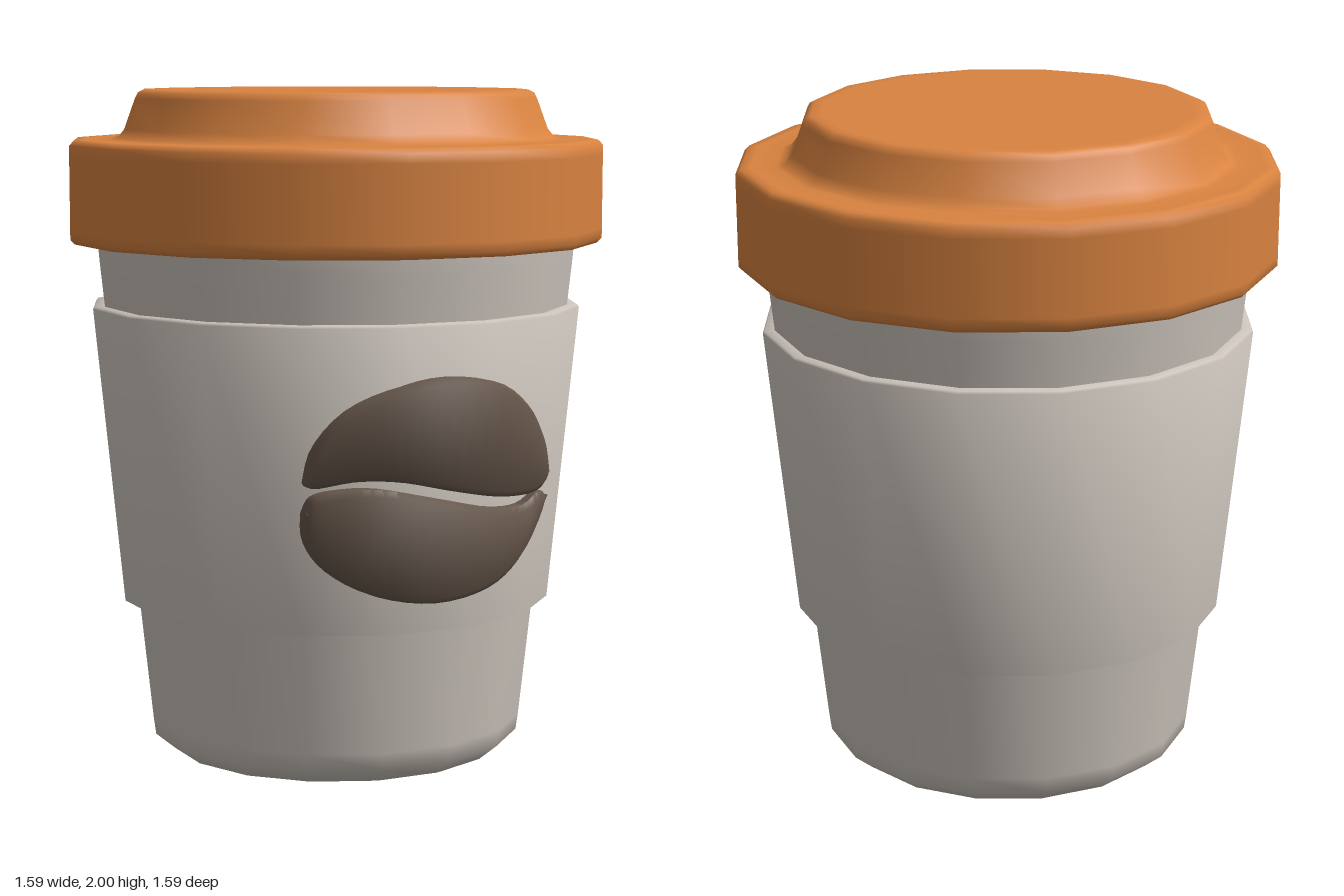
import * as THREE from 'three';
import { toCreasedNormals } from 'three/addons/utils/BufferGeometryUtils.js';

const SIDES = 16;
const TURN = 0.129; // small twist of the 16-sided rings
const CREASE = 1.0;

const mat = (name, color) => {
  const m = new THREE.MeshStandardMaterial({ color });
  m.name = name;
  return m;
};

// Ring-shaped part from a [radius, height] profile, listed bottom to top
function turned(name, profile, material) {
  const pts = profile.map(([r, y]) => new THREE.Vector2(r, y));
  const geo = new THREE.LatheGeometry(pts, SIDES, TURN, Math.PI * 2);
  const mesh = new THREE.Mesh(toCreasedNormals(geo, CREASE), material);
  mesh.name = name;
  return mesh;
}

// Sleeve radius at a height
const sleeveRadius = (y) => 0.652 + (y - 0.47) * 0.098;

// Bean half: cross-sections between a lower and an upper outline, wrapped round the sleeve
function beanHalf(name, lower, upper, material) {
  const curve = (pts) => new THREE.SplineCurve(pts.map(([x, y]) => new THREE.Vector2(x, y)));
  const low = curve(lower), high = curve(upper);
  const columns = 32, rows = 6;
  const position = [], index = [];
  for (let i = 0; i <= columns; i++) {
    const a = low.getPoint(i / columns), b = high.getPoint(i / columns);
    const bevel = Math.min(0.4, 0.018 / Math.max(a.distanceTo(b), 0.001));
    // [fraction from lower to upper edge, height above the sleeve]
    const section = [[0, -0.03], [0, 0.022], [bevel, 0.036], [1 - bevel, 0.036], [1, 0.022], [1, -0.03]];
    for (const [f, lift] of section) {
      const p = a.clone().lerp(b, f);
      const r = sleeveRadius(p.y) + lift;
      position.push(p.x, p.y, Math.sqrt(r * r - p.x * p.x));
    }
  }
  for (let i = 0; i < columns; i++) {
    for (let j = 0; j < rows - 1; j++) {
      const a = i * rows + j, b = a + rows;
      index.push(a, b, b + 1, a, b + 1, a + 1);
    }
  }
  const geo = new THREE.BufferGeometry();
  geo.setAttribute('position', new THREE.Float32BufferAttribute(position, 3));
  geo.setIndex(index);
  const mesh = new THREE.Mesh(toCreasedNormals(geo, CREASE), material);
  mesh.name = name;
  return mesh;
}

export function createModel() {
  const model = new THREE.Group();
  model.name = 'coffeeCup';
  const grey = mat('warm grey', 0xcbc3bb);
  const orange = mat('orange', 0xd98340);
  const brown = mat('coffee brown', 0x66564a);

  // Tapered cup with a chamfered foot
  model.add(turned('cup', [
    [0, 0], [0.46, 0], [0.505, 0.003], [0.562, 0.05], [0.569, 0.1],
    [0.718, 1.5], [0.724, 1.57], [0, 1.57],
  ], grey));

  // Sleeve wrapped round the middle
  model.add(turned('sleeve', [
    [0.59, 0.47], [0.652, 0.47], [0.739, 1.355], [0.734, 1.362], [0.69, 1.362],
  ], grey));

  // Lid with a wide rim and a raised top
  model.add(turned('lid', [
    [0, 1.55], [0.74, 1.55], [0.79, 1.548], [0.804, 1.562], [0.804, 1.59],
    [0.804, 1.81], [0.804, 1.838], [0.79, 1.853], [0.76, 1.853],
    [0.685, 1.853], [0.662, 1.858], [0.64, 1.885],
    [0.607, 1.975], [0.599, 1.991], [0.582, 2], [0.55, 2], [0, 2],
  ], orange));

  // Coffee bean emblem in two halves with a wavy gap
  const bean = new THREE.Group();
  bean.name = 'coffeeBean';
  bean.add(beanHalf('upperBeanHalf',
    [[-0.42, 0.92], [-0.4, 0.905], [-0.3, 0.925], [-0.18, 0.92], [-0.03, 0.887],
      [0.13, 0.855], [0.25, 0.845], [0.32, 0.85], [0.35, 0.865], [0.362, 0.9]],
    [[-0.42, 0.92], [-0.4, 1.02], [-0.32, 1.125], [-0.19, 1.19], [-0.035, 1.212],
      [0.13, 1.183], [0.25, 1.105], [0.32, 1.02], [0.35, 0.95], [0.362, 0.9]], brown));
  bean.add(beanHalf('lowerBeanHalf',
    [[-0.42, 0.83], [-0.41, 0.745], [-0.35, 0.66], [-0.23, 0.59], [-0.055, 0.56],
      [0.125, 0.585], [0.245, 0.65], [0.325, 0.75], [0.36, 0.83]],
    [[-0.42, 0.83], [-0.4, 0.878], [-0.34, 0.897], [-0.23, 0.9], [-0.055, 0.862],
      [0.125, 0.822], [0.245, 0.815], [0.325, 0.845], [0.36, 0.83]], brown));
  model.add(bean);

  return model;
}
